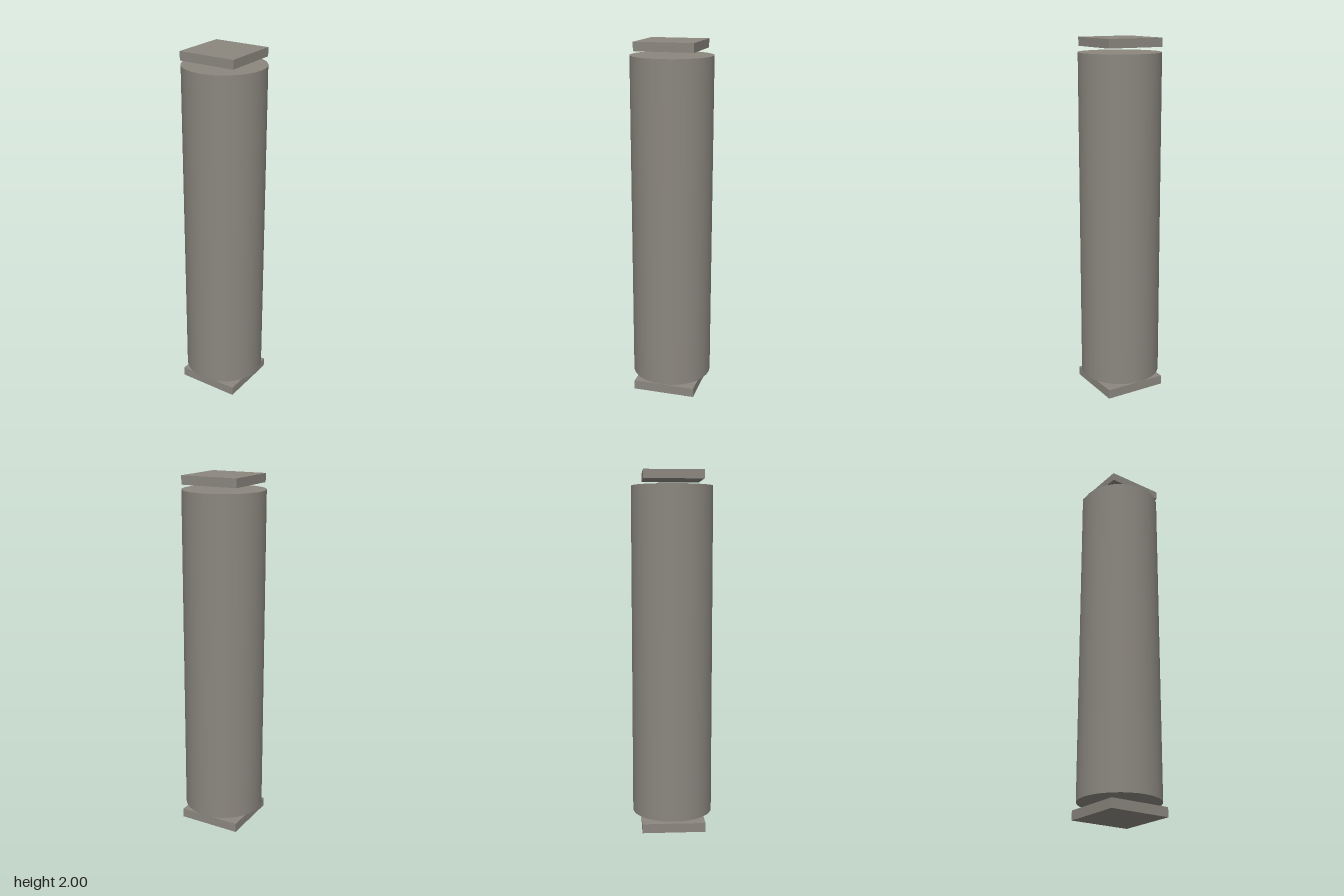
import * as THREE from 'three';

export function createModel() {
  const model = new THREE.Group();
  model.name = 'column';

  const stone = new THREE.MeshStandardMaterial({ color: 0x8b877f });
  stone.name = 'warm grey stone';

  function addPart(name, geometry, bottom, height) {
    const mesh = new THREE.Mesh(geometry, stone);
    mesh.name = name;
    mesh.position.y = bottom + height / 2;
    model.add(mesh);
  }

  // Square slab on the ground
  addPart('basePlate', new THREE.BoxGeometry(0.355, 0.052, 0.355), 0, 0.052);

  // Round shaft, floating clear of both slabs
  addPart('shaft', new THREE.CylinderGeometry(0.226, 0.226, 1.841, 32), 0.082, 1.841);

  // Slightly smaller square slab on top
  addPart('capPlate', new THREE.BoxGeometry(0.326, 0.048, 0.326), 1.952, 0.048);

  return model;
}
